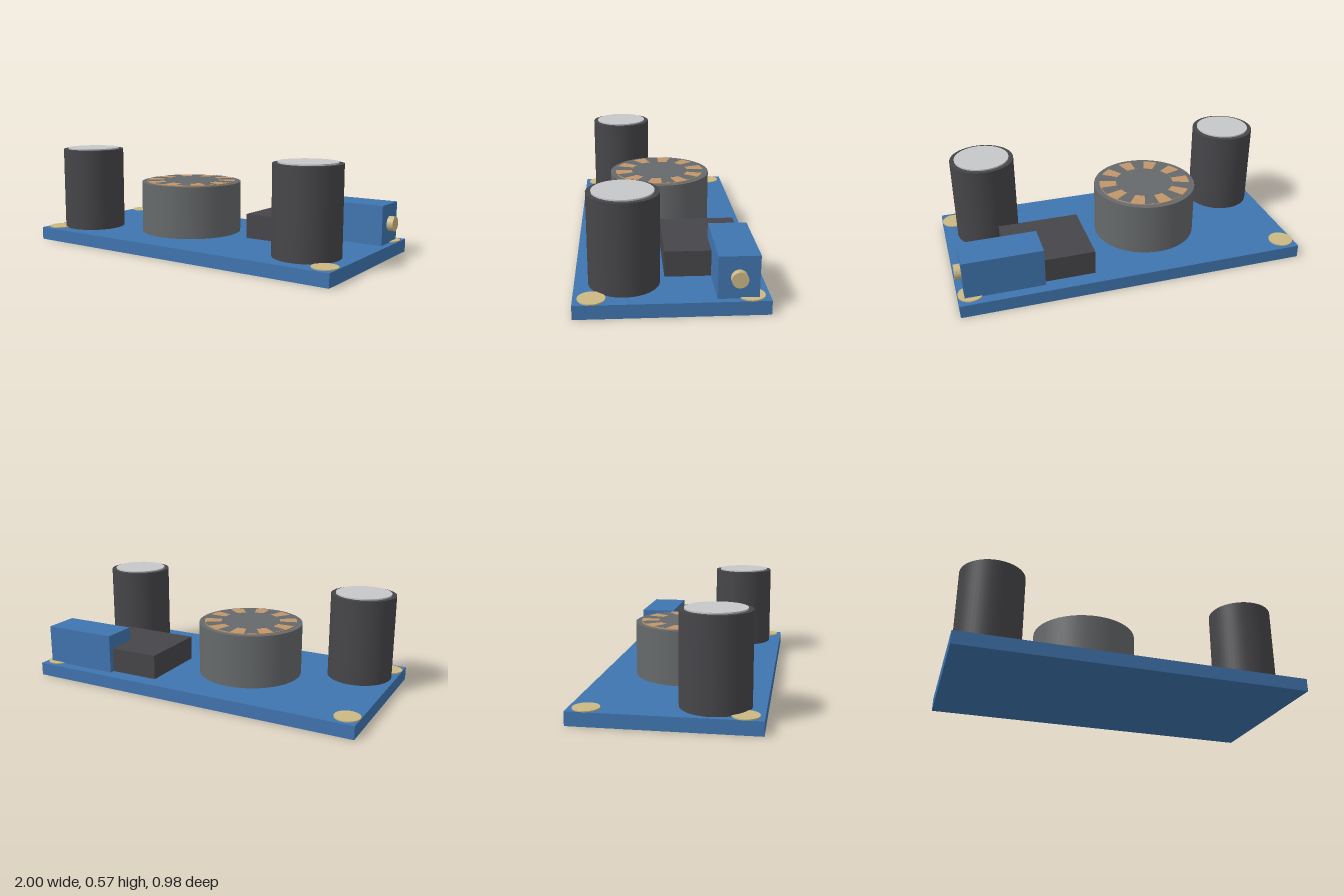
import * as THREE from 'three';

const mat = (name, color) => {
  const m = new THREE.MeshStandardMaterial({ color });
  m.name = name;
  return m;
};

export function createModel() {
  const model = new THREE.Group();
  model.name = 'converterBoard';
  const blue = mat('boardBlue', 0x4075b0);
  const dark = mat('darkPlastic', 0x464549);
  const grey = mat('ferriteGrey', 0x66696b);
  const silver = mat('aluminium', 0xc6c7c9);
  const gold = mat('brass', 0xcbb884);
  const copper = mat('copper', 0xc0966a);

  const add = (name, geometry, material, x, y, z) => {
    const mesh = new THREE.Mesh(geometry, material);
    mesh.name = name;
    mesh.position.set(x, y, z);
    model.add(mesh);
    return mesh;
  };
  // Box and upright cylinder placed by their extents
  const box = (name, m, x0, x1, y0, y1, z0, z1) =>
    add(name, new THREE.BoxGeometry(x1 - x0, y1 - y0, z1 - z0), m, (x0 + x1) / 2, (y0 + y1) / 2, (z0 + z1) / 2);
  const disc = (name, m, r, x, y0, y1, z) =>
    add(name, new THREE.CylinderGeometry(r, r, y1 - y0, 48), m, x, (y0 + y1) / 2, z);

  const top = 0.075;
  box('board', blue, -1, 1, 0, top, -0.488, 0.488);

  // Corner solder pads
  for (const x of [-0.93, 0.93])
    for (const z of [-0.395, 0.395]) disc('solderPad', gold, 0.07, x, top, 0.081, z);

  // Electrolytic capacitors
  for (const x of [-0.79, 0.74]) {
    disc('capacitorSleeve', dark, 0.185, x, top, 0.565, 0.232);
    disc('capacitorTop', silver, 0.158, x, 0.565, 0.573, 0.232);
  }

  // Inductor: ferrite body, copper winding and grey core with spokes between turns
  const cx = -0.19;
  disc('inductorBody', grey, 0.302, cx, top, 0.379, 0);
  disc('inductorWinding', copper, 0.27, cx, 0.379, 0.385, 0);
  disc('inductorCore', grey, 0.17, cx, 0.385, 0.3865, 0);
  const turns = 10;
  for (let i = 0; i < turns; i++) {
    const gap = new THREE.RingGeometry(0.17, 0.27, 4, 1, (i / turns) * Math.PI * 2, Math.PI / turns);
    add('windingGap', gap.rotateX(-Math.PI / 2), grey, cx, 0.3865, 0);
  }

  // Regulator chip, trimmer and its adjusting screw
  box('regulatorChip', dark, 0.23, 0.7, top, 0.217, -0.4, 0.022);
  box('trimmerBody', blue, 0.522, 0.965, top, 0.3, -0.43, -0.222);
  const screw = new THREE.CylinderGeometry(0.042, 0.042, 0.035, 32).rotateZ(Math.PI / 2);
  add('trimmerScrew', screw, gold, 0.9825, 0.188, -0.326);

  return model;
}
